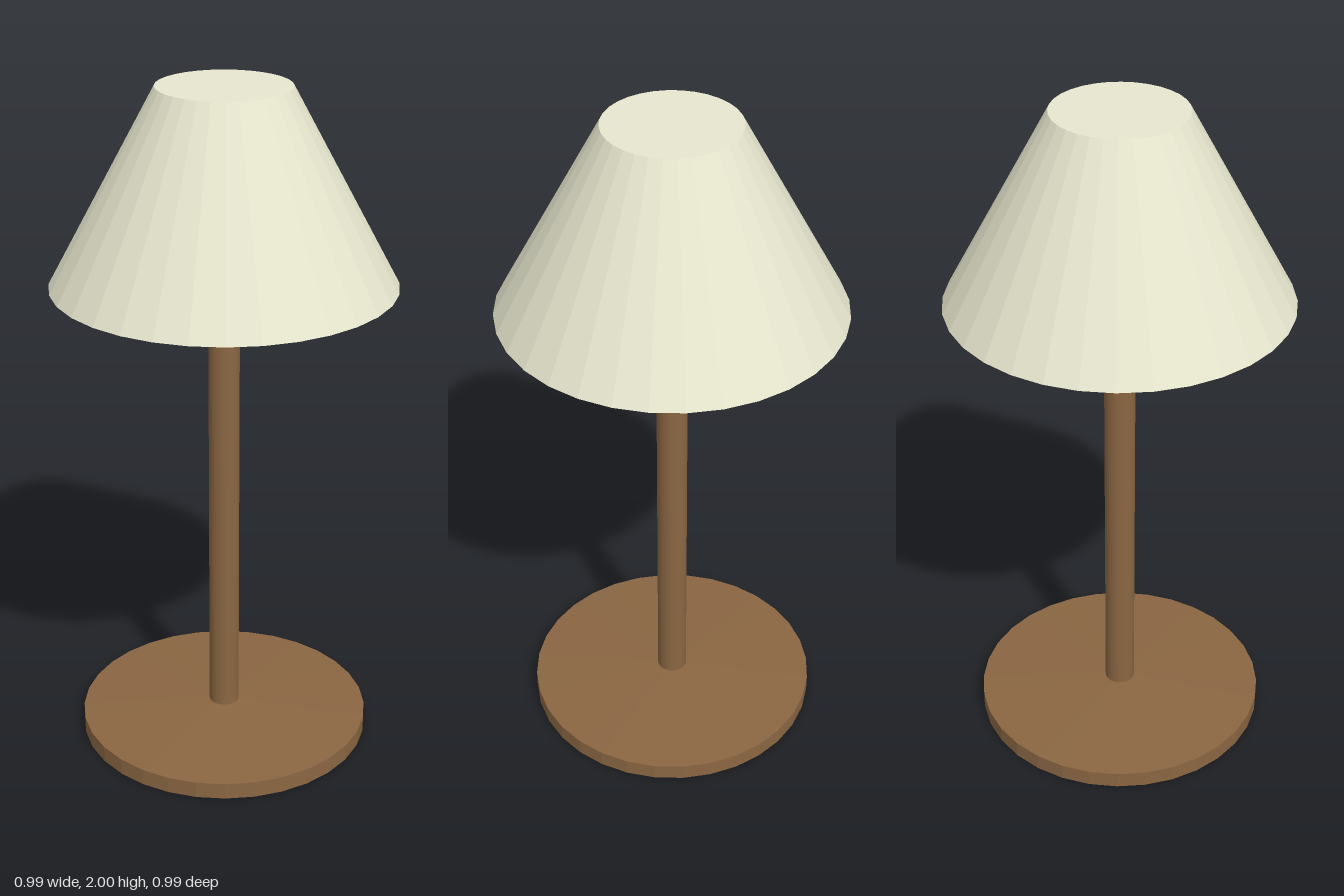
import * as THREE from 'three';

const SIDES = 32;

// Faceted solid of revolution; the profile runs so that its outside faces outward
function turned(name, profile, material) {
  const points = profile.map(([r, y]) => new THREE.Vector2(r, y));
  const mesh = new THREE.Mesh(new THREE.LatheGeometry(points, SIDES), material);
  mesh.name = name;
  return mesh;
}

export function createModel() {
  const wood = new THREE.MeshStandardMaterial({ color: 0x8a6642, flatShading: true });
  wood.name = 'brown wood';
  const cream = new THREE.MeshStandardMaterial({ color: 0xe8e7cf, flatShading: true });
  cream.name = 'cream shade';

  const lamp = new THREE.Group();
  lamp.name = 'tableLamp';

  // Disc foot with a gently sloping top
  lamp.add(turned('base', [[0, 0], [0.437, 0], [0.437, 0.05], [0.045, 0.07], [0, 0.07]], wood));

  // Slim pole reaching up into the shade
  lamp.add(turned('pole', [[0, 0.06], [0.045, 0.06], [0.045, 1.78], [0, 1.78]], wood));

  // Thick tapered shade: conical hollow meeting the pole, bottom rim, outer wall, closed top
  lamp.add(turned('shade', [
    [0.04, 1.74], [0.447, 1.436], [0.495, 1.436], [0.19, 2], [0, 2],
  ], cream));

  return lamp;
}
